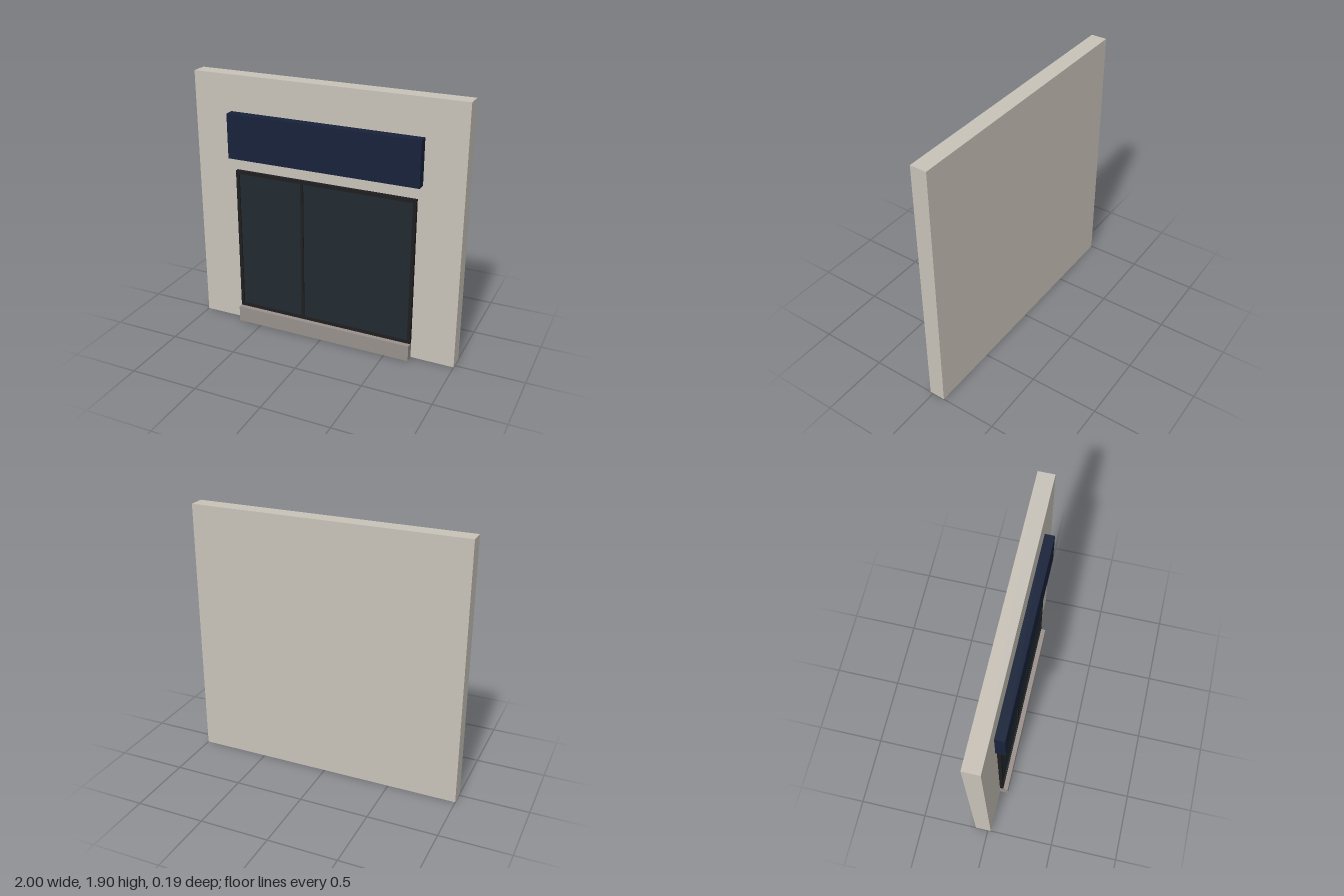
import * as THREE from 'three';

const WALL_FRONT = 0.024;

export function createModel() {
  const model = new THREE.Group();
  model.name = 'shopfront';

  const paint = (color) => new THREE.MeshStandardMaterial({ color });
  const stone = paint(0xc8c2b8);
  const sillStone = paint(0x98908c);
  const navy = paint(0x18223a);
  const frameMetal = paint(0x1e1e20);
  const darkGlass = paint(0x222a30);

  // Box given by its lower and upper limits on each axis
  function box(name, material, [x0, x1], [y0, y1], [z0, z1], parent = model) {
    const mesh = new THREE.Mesh(new THREE.BoxGeometry(x1 - x0, y1 - y0, z1 - z0), material);
    mesh.position.set((x0 + x1) / 2, (y0 + y1) / 2, (z0 + z1) / 2);
    mesh.name = name;
    parent.add(mesh);
  }

  // Wall, sign board and the low plinth under the window
  box('wall', stone, [-1, 1], [0, 1.905], [-0.093, WALL_FRONT]);
  box('signBoard', navy, [-0.713, 0.713], [1.315, 1.643], [WALL_FRONT, 0.093]);
  box('plinth', sillStone, [-0.682, 0.682], [0, 0.12], [WALL_FRONT, 0.085]);

  // Window frame: one plate with two openings
  const left = -0.682, right = 0.682, bottom = 0.12, top = 1.215;
  const bar = 0.024, mullionX = -0.16, mullionHalf = 0.01;
  const rect = (Type, x0, x1, y0, y1) => new Type([
    new THREE.Vector2(x0, y0), new THREE.Vector2(x1, y0),
    new THREE.Vector2(x1, y1), new THREE.Vector2(x0, y1),
  ]);
  const panes = [
    ['narrowPane', left + bar, mullionX - mullionHalf],
    ['widePane', mullionX + mullionHalf, right - bar],
  ];
  const outline = rect(THREE.Shape, left, right, bottom, top);
  for (const [, x0, x1] of panes) {
    outline.holes.push(rect(THREE.Path, x0, x1, bottom + bar, top - bar));
  }

  const shopWindow = new THREE.Group();
  shopWindow.name = 'shopWindow';
  model.add(shopWindow);
  const frame = new THREE.Mesh(
    new THREE.ExtrudeGeometry(outline, { depth: 0.026, bevelEnabled: false }), frameMetal);
  frame.position.z = WALL_FRONT;
  frame.name = 'windowFrame';
  shopWindow.add(frame);

  // Glass set slightly back in each opening
  for (const [name, x0, x1] of panes) {
    box(name, darkGlass, [x0, x1], [bottom + bar, top - bar], [WALL_FRONT, 0.04], shopWindow);
  }

  return model;
}
